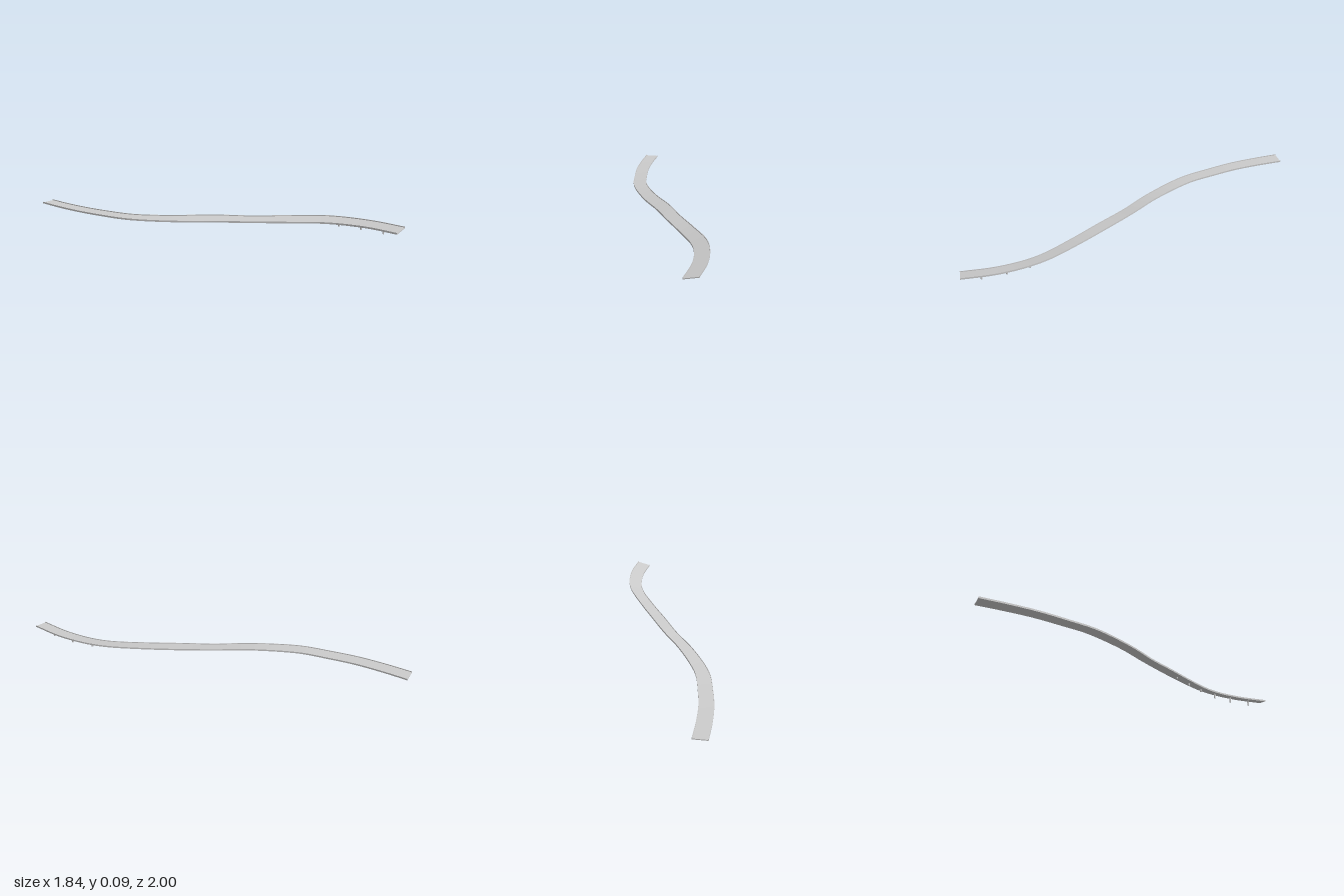
import * as THREE from 'three';

// Stations along the track: x, z, underside height, half rise of the banked edge
const STATIONS = [
  [-0.873, -0.985, 0.008, 0.0], [-0.80, -0.82, 0.006, 0.001], [-0.71, -0.645, 0.005, 0.002],
  [-0.60, -0.475, 0.004, 0.003], [-0.50, -0.335, 0.005, 0.004], [-0.40, -0.235, 0.007, 0.005],
  [-0.20, -0.078, 0.015, 0.008], [0, 0.05, 0.023, 0.010], [0.20, 0.197, 0.029, 0.008],
  [0.40, 0.34, 0.039, 0.010], [0.60, 0.495, 0.052, 0.012], [0.70, 0.61, 0.057, 0.012],
  [0.80, 0.78, 0.062, 0.011], [0.876, 0.982, 0.065, 0.011],
];
const HALF = 0.048, DECK = 0.006, LIP = 0.012, LIP_W = 0.003;
const material = new THREE.MeshStandardMaterial({ color: 0xcccccc });

const path = new THREE.CatmullRomCurve3(STATIONS.map(([x, z, y]) => new THREE.Vector3(x, y, z)));
const banks = new THREE.CatmullRomCurve3(STATIONS.map(([, , , b], i) => new THREE.Vector3(i, b, 0)), false, 'catmullrom');

// Position, sideways direction and bank at parameter t
function frame(t) {
  const tan = path.getTangent(t);
  const side = new THREE.Vector3(tan.z, 0, -tan.x).normalize();
  return { pos: path.getPoint(t), side, bank: banks.getPoint(t).y };
}

// Shallow channel section: a deck with a small lip along each edge
const SECTION = [
  [-HALF, 0], [HALF, 0], [HALF, LIP], [HALF - LIP_W, LIP],
  [HALF - LIP_W, DECK], [-HALF + LIP_W, DECK], [-HALF + LIP_W, LIP], [-HALF, LIP],
].map(([u, v]) => new THREE.Vector2(u, v));

function trackGeometry(steps) {
  const n = SECTION.length, positions = [], index = [];
  const rings = [];
  for (let i = 0; i <= steps; i++) {
    const { pos, side, bank } = frame(i / steps);
    rings.push(SECTION.map(({ x, y }) => pos.clone().addScaledVector(side, x)
      .add(new THREE.Vector3(0, y + bank * x / HALF, 0))));
  }
  // One strip per section edge, smooth along the track and sharp across it
  for (let j = 0; j < n; j++) {
    const base = positions.length / 3;
    for (const ring of rings) positions.push(...ring[j].toArray(), ...ring[(j + 1) % n].toArray());
    for (let i = 0; i < steps; i++) {
      const a = base + i * 2;
      index.push(a, a + 1, a + 3, a, a + 3, a + 2);
    }
  }
  // End caps
  const faces = THREE.ShapeUtils.triangulateShape(SECTION, []);
  [rings[0], rings[steps]].forEach((ring, end) => {
    const base = positions.length / 3;
    ring.forEach((p) => positions.push(...p.toArray()));
    for (const [a, b, c] of faces) {
      if (end) index.push(base + a, base + b, base + c);
      else index.push(base + a, base + c, base + b);
    }
  });
  const geometry = new THREE.BufferGeometry();
  geometry.setAttribute('position', new THREE.Float32BufferAttribute(positions, 3));
  geometry.setIndex(index);
  geometry.computeVertexNormals();
  return geometry;
}

// Parameter where the track's centre reaches a given x
function paramAtX(x) {
  let lo = 0, hi = 1;
  for (let i = 0; i < 30; i++) {
    const mid = (lo + hi) / 2;
    if (path.getPoint(mid).x < x) lo = mid; else hi = mid;
  }
  return lo;
}

export function createModel() {
  const group = new THREE.Group();
  group.name = 'bankedTrack';

  const track = new THREE.Mesh(trackGeometry(120), material);
  track.name = 'trackDeck';
  group.add(track);

  // Short round posts under the raised end
  const posts = new THREE.Group();
  posts.name = 'supportPosts';
  for (const x of [0.31, 0.44, 0.57, 0.68, 0.765, 0.833]) {
    const { pos } = frame(paramAtX(x));
    const bottom = x === 0.57 ? 0.027 : 0.021;
    const top = pos.y + 0.003;
    const post = new THREE.Mesh(new THREE.CylinderGeometry(0.006, 0.006, top - bottom, 12), material);
    post.name = 'supportPost';
    post.position.set(pos.x, (top + bottom) / 2, pos.z);
    posts.add(post);
  }
  group.add(posts);
  return group;
}
